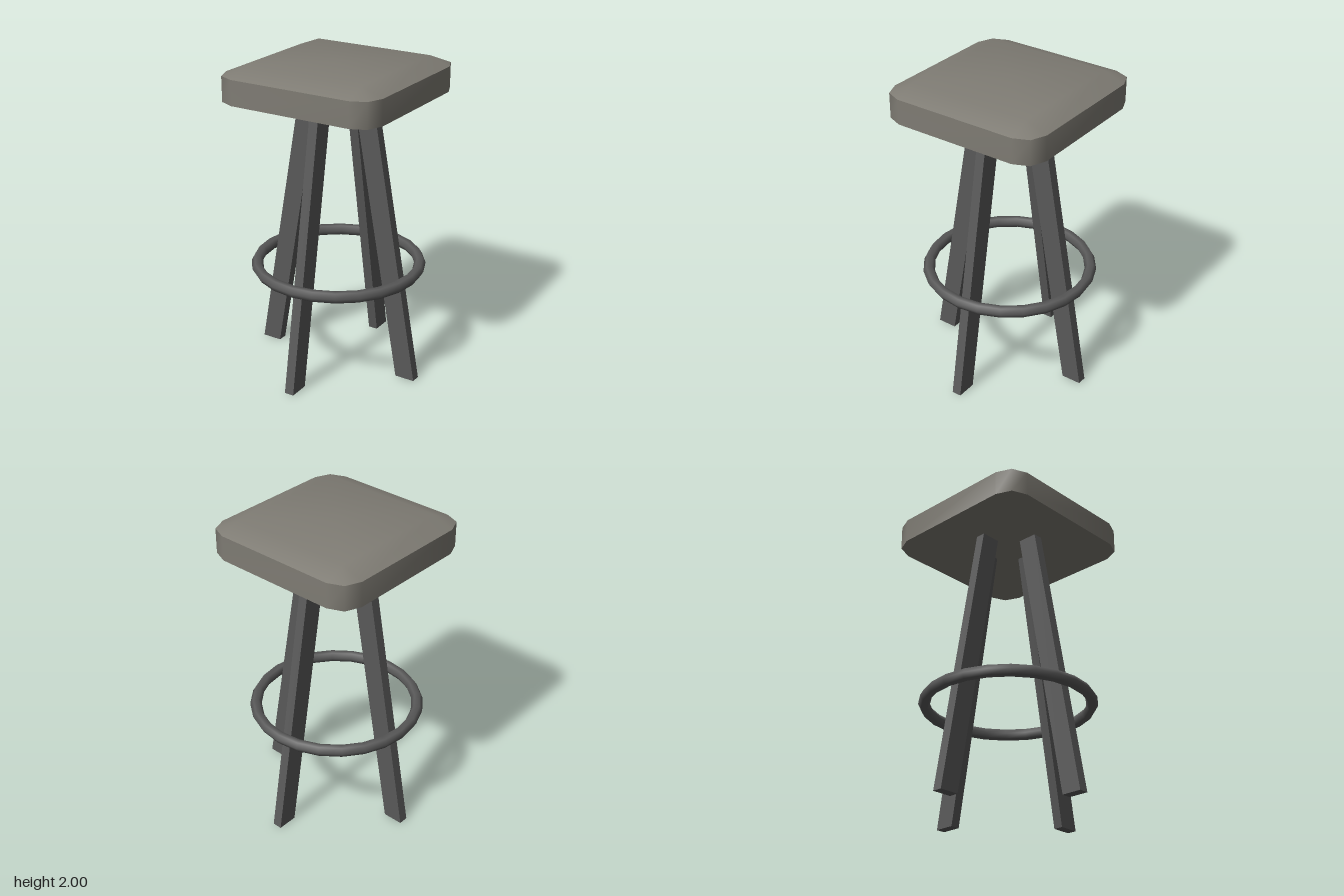
import * as THREE from 'three';
import { toCreasedNormals } from 'three/addons/utils/BufferGeometryUtils.js';

// Square outline with chamfer-rounded corners of radius r around (±c, ±c)
function outline(c, r, y) {
  const pts = [];
  for (let q = 0; q < 4; q++) {
    const mid = Math.PI / 4 + q * Math.PI / 2;
    const cx = Math.sign(Math.cos(mid)) * c, cz = Math.sign(Math.sin(mid)) * c;
    for (let k = 0; k < 3; k++) {
      const a = (q + k / 2) * Math.PI / 2;
      pts.push([cx + r * Math.cos(a), y, cz + r * Math.sin(a)]);
    }
  }
  return pts;
}

// Seat: straight sides, sloped cushion rim, flat top and underside
function seatGeometry() {
  const rings = [outline(0.4, 0.137, 1.79), outline(0.4, 0.137, 1.948), outline(0.4, 0, 2)];
  const pos = [];
  const tri = (...p) => p.forEach(v => pos.push(...v));
  const n = rings[0].length;
  for (let i = 0; i < n; i++) {
    const j = (i + 1) % n;
    for (let k = 0; k < 2; k++) {
      const lo = rings[k], hi = rings[k + 1];
      tri(lo[j], lo[i], hi[i]);
      tri(lo[j], hi[i], hi[j]);
    }
    tri([0, 1.79, 0], rings[0][i], rings[0][j]);
    tri([0, 2, 0], rings[2][j], rings[2][i]);
  }
  const g = new THREE.BufferGeometry();
  g.setAttribute('position', new THREE.Float32BufferAttribute(pos, 3));
  return toCreasedNormals(g, 0.9);
}

// Leg: slanted flat bar leaning outward along +x
function legGeometry() {
  const shape = new THREE.Shape([[0.45, 0], [0.58, 0], [0.26, 1.795], [0.13, 1.795]]
    .map(p => new THREE.Vector2(...p)));
  return new THREE.ExtrudeGeometry(shape, { depth: 0.062, bevelEnabled: false }).translate(0, 0, -0.031);
}

export function createModel() {
  const model = new THREE.Group();
  model.name = 'barStool';
  const cushion = new THREE.MeshStandardMaterial({ color: 0x7f7c74 });
  cushion.name = 'warm grey cushion';
  const metal = new THREE.MeshStandardMaterial({ color: 0x595959 });
  metal.name = 'dark grey metal';

  const add = (name, geometry, material) => {
    const mesh = new THREE.Mesh(geometry, material);
    mesh.name = name;
    model.add(mesh);
    return mesh;
  };

  add('seat', seatGeometry(), cushion);

  // Four legs, one in the middle of each side
  const leg = legGeometry();
  ['leftLeg', 'backLeg', 'rightLeg', 'frontLeg'].forEach((name, i) => {
    add(name, leg, metal).rotation.y = i * Math.PI / 2;
  });

  // Footrest ring with a hexagonal section
  const ring = new THREE.TorusGeometry(0.519, 0.037, 6, 24).rotateX(-Math.PI / 2);
  add('footRing', ring, metal).position.y = 0.687;

  return model;
}
